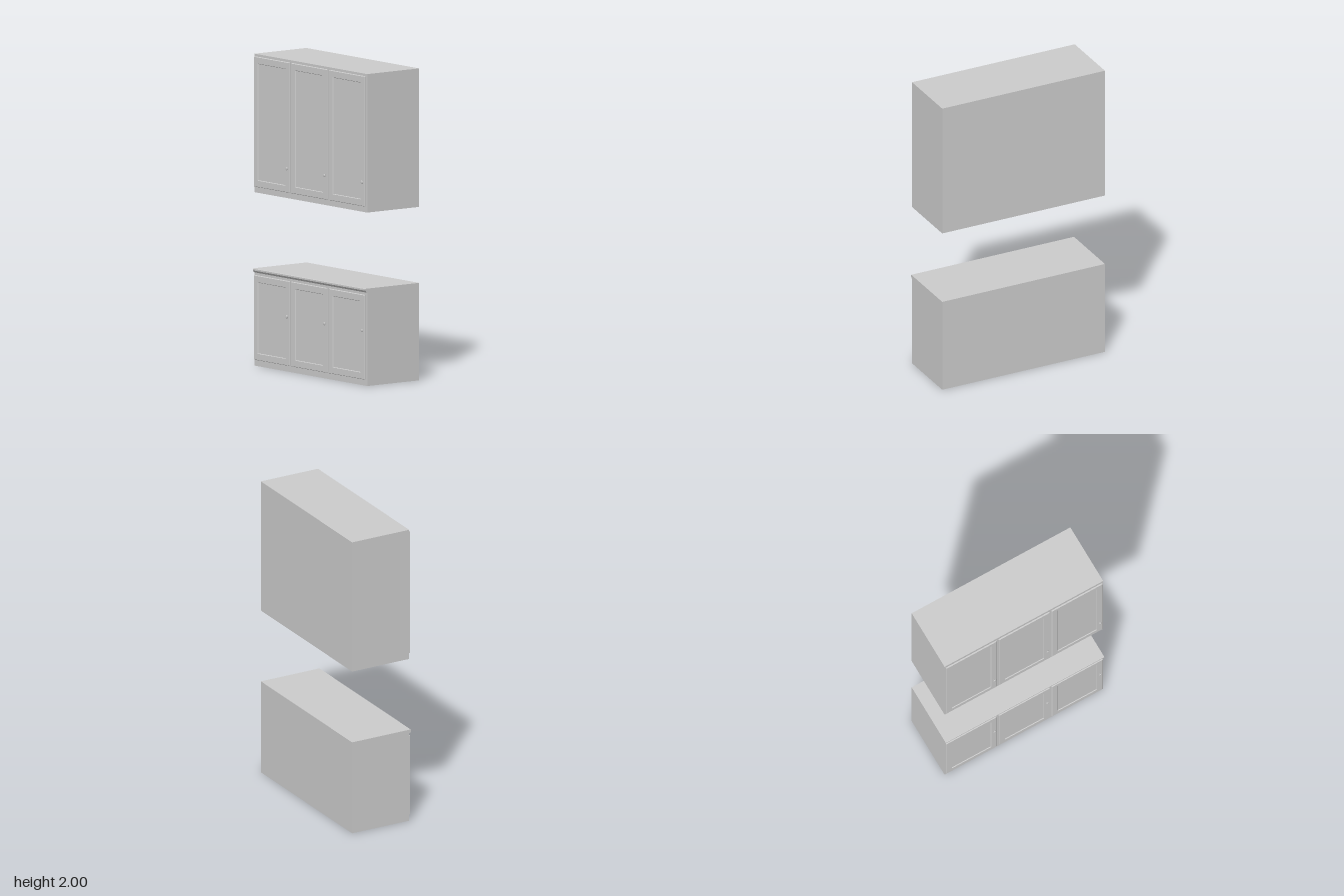
import * as THREE from 'three';

const material = new THREE.MeshStandardMaterial({ color: 0xcccccc });
const DEPTH_Z = 1.162;   // cabinet run along z
const FRONT = -0.198;    // x of the carcass front, doors face -x
const BACK = 0.22;

function add(parent, geometry, name) {
  const mesh = new THREE.Mesh(geometry, material);
  mesh.name = name;
  parent.add(mesh);
  return mesh;
}

function rect(target, w, h) {
  target.moveTo(-w / 2, -h / 2);
  target.lineTo(w / 2, -h / 2);
  target.lineTo(w / 2, h / 2);
  target.lineTo(-w / 2, h / 2);
  target.closePath();
  return target;
}

// Small round pull, turned about the local z axis
function makeKnob() {
  const profile = [[0.006, 0], [0.004, 0.002], [0.004, 0.006], [0.010, 0.008], [0.0105, 0.011], [0.008, 0.013], [0, 0.014]]
    .map(([r, y]) => new THREE.Vector2(r, y));
  return new THREE.LatheGeometry(profile, 20).rotateX(Math.PI / 2);
}

// Framed door with a recessed panel, built facing local +z
function makeDoor(w, h, knobY) {
  const door = new THREE.Group();
  door.name = 'door';
  const rail = 0.042, bevel = 0.003, thick = 0.012;
  const shape = rect(new THREE.Shape(), w - 2 * bevel, h - 2 * bevel);
  shape.holes.push(rect(new THREE.Path(), w - 2 * rail, h - 2 * rail));
  const frame = new THREE.ExtrudeGeometry(shape, {
    depth: thick - 2 * bevel, bevelEnabled: true, bevelThickness: bevel, bevelSize: bevel, bevelSegments: 1,
  });
  add(door, frame.translate(0, 0, bevel), 'doorFrame');
  add(door, new THREE.BoxGeometry(w - 2 * rail + 0.01, h - 2 * rail + 0.01, 0.007).translate(0, 0, 0.0035), 'doorPanel');
  add(door, makeKnob(), 'knob').position.set(w / 2 - 0.02, knobY, thick - 0.002);
  return door;
}

function makeCabinet(name, y0, y1, doorY0, doorY1, knobY) {
  const cabinet = new THREE.Group();
  cabinet.name = name;
  add(cabinet, new THREE.BoxGeometry(BACK - FRONT, y1 - y0, DEPTH_Z), 'carcass')
    .position.set((BACK + FRONT) / 2, (y0 + y1) / 2, 0);
  // Three doors side by side on the -x face
  const mid = (doorY0 + doorY1) / 2;
  for (let i = -1; i <= 1; i++) {
    const door = makeDoor(0.372, doorY1 - doorY0, knobY - mid);
    door.rotation.y = -Math.PI / 2;
    door.position.set(FRONT, mid, i * 0.387 - 0.003);
    cabinet.add(door);
  }
  return cabinet;
}

export function createModel() {
  const model = new THREE.Group();
  model.name = 'cabinets';
  const base = makeCabinet('baseCabinet', 0, 0.625, 0.04, 0.583, 0.355);
  model.add(base, makeCabinet('wallCabinet', 1.112, 2, 1.15, 1.985, 1.305));

  // Worktop nosing along the top front edge of the base cabinet
  const nose = new THREE.Shape();
  nose.moveTo(FRONT, 0.598);
  nose.lineTo(-0.206, 0.603);
  nose.lineTo(-0.212, 0.612);
  nose.lineTo(-0.212, 0.622);
  nose.lineTo(-0.209, 0.625);
  nose.lineTo(FRONT, 0.625);
  nose.closePath();
  add(base, new THREE.ExtrudeGeometry(nose, { depth: DEPTH_Z, bevelEnabled: false }).translate(0, 0, -DEPTH_Z / 2), 'worktopEdge');
  return model;
}
